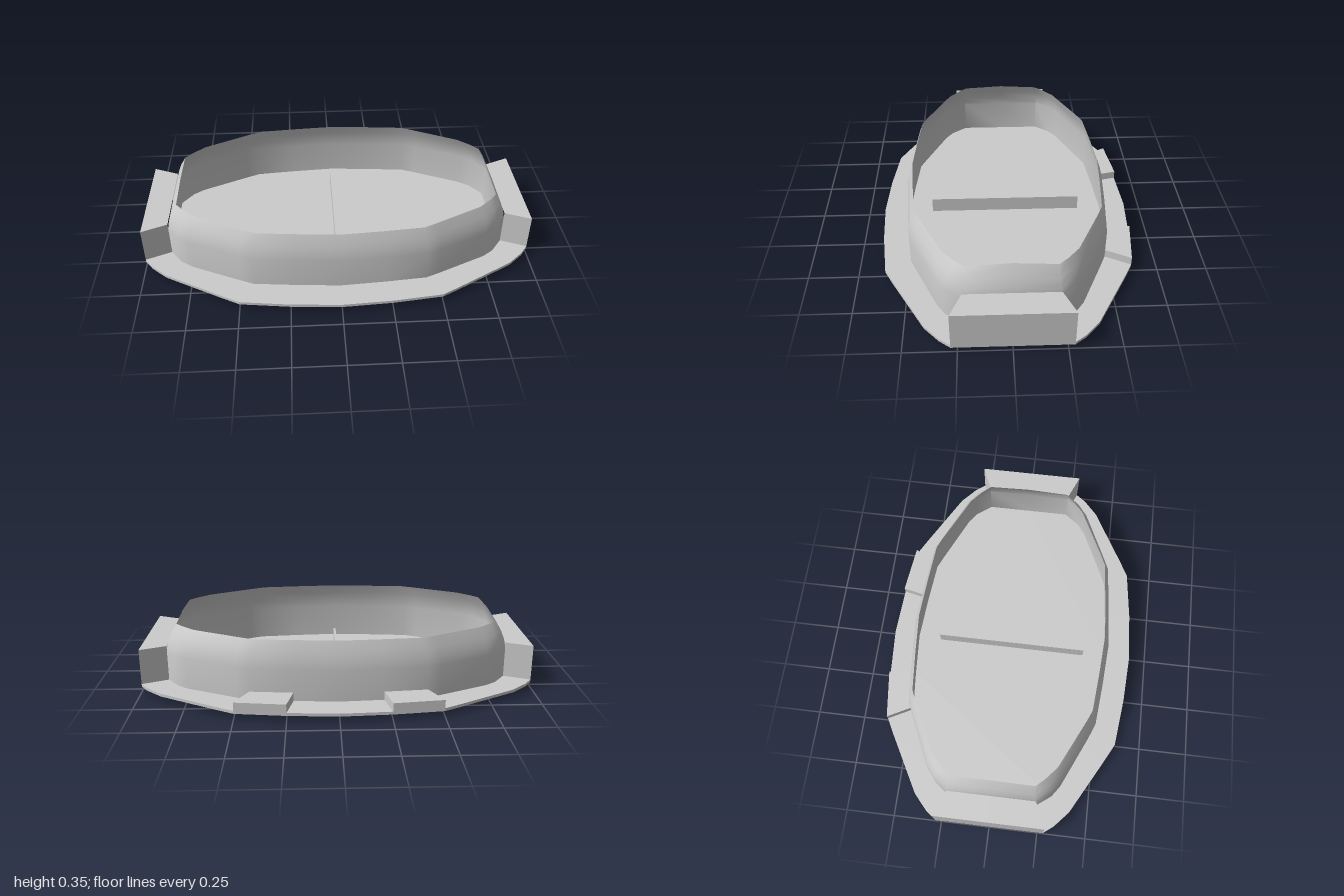
import * as THREE from 'three';
import { toCreasedNormals } from 'three/addons/utils/BufferGeometryUtils.js';

const material = new THREE.MeshStandardMaterial({ color: 0xcccccc, side: THREE.DoubleSide });

// One quarter of each outline as [x, z], from front centre to the end centre
const FLANGE = [[0, 0.66], [0.25, 0.645], [0.5, 0.615], [0.59, 0.567], [0.88, 0.405], [0.96, 0.333], [1, 0.28], [1, 0]];
const BASE = [[0, 0.525], [0.22, 0.51], [0.435, 0.49], [0.5, 0.462], [0.755, 0.345], [0.81, 0.305], [0.87, 0.225], [0.87, 0]];
const RIM = [[0, 0.49], [0.205, 0.476], [0.406, 0.458], [0.465, 0.432], [0.71, 0.312], [0.775, 0.255], [0.813, 0.212], [0.813, 0]];

// Mirror a quarter into a closed ring of 28 points
function ring(q) {
  const right = [...q, ...q.slice(0, -1).reverse().map(([x, z]) => [x, -z])];
  const left = right.slice(1, -1).reverse().map(([x, z]) => [-x, z]);
  return [...right, ...left];
}
const flangeRing = ring(FLANGE), baseRing = ring(BASE), rimRing = ring(RIM);
const N = baseRing.length;

function mesh(name, geometry) {
  const m = new THREE.Mesh(geometry, material);
  m.name = name;
  return m;
}

// Geometry from a list of four-cornered faces
function quads(faces, crease) {
  const pos = [];
  for (const [a, b, c, d] of faces) pos.push(...a, ...b, ...c, ...a, ...c, ...d);
  const g = new THREE.BufferGeometry();
  g.setAttribute('position', new THREE.Float32BufferAttribute(pos, 3));
  g.computeVertexNormals();
  return crease ? toCreasedNormals(g, crease) : g;
}

// Stretch of ledge around the wall between two ring indices
function ledge(from, to, y0, y1, closedBelow) {
  const o = (i, y) => [flangeRing[i % N][0], y, flangeRing[i % N][1]];
  const n = (i, y) => [baseRing[i % N][0], y, baseRing[i % N][1]];
  const faces = [
    [n(from, y0), o(from, y0), o(from, y1), n(from, y1)],
    [o(to, y0), n(to, y0), n(to, y1), o(to, y1)],
  ];
  for (let i = from; i < to; i++) {
    faces.push([o(i, y0), o(i + 1, y0), o(i + 1, y1), o(i, y1)]);
    faces.push([o(i, y1), o(i + 1, y1), n(i + 1, y1), n(i, y1)]);
    if (closedBelow) faces.push([n(i, y0), n(i + 1, y0), o(i + 1, y0), o(i, y0)]);
  }
  return quads(faces);
}

export function createModel() {
  const group = new THREE.Group();

  // Wall: upright, then curving inward to a rim that peaks at both ends
  const levels = [[0.02, 0], [0.2, 0], [0.245, 0.17], [0.29, 0.48], [0.34, 1]];
  const point = (i, [y, t]) => {
    const b = baseRing[i % N], r = rimRing[i % N];
    const peak = i % 14 === 7 ? 0.012 * t : 0;
    return [b[0] + (r[0] - b[0]) * t, y + peak, b[1] + (r[1] - b[1]) * t];
  };
  const wall = [];
  for (let k = 0; k < levels.length - 1; k++) {
    for (let i = 0; i < N; i++) {
      const lo = levels[k], hi = levels[k + 1];
      wall.push([point(i, lo), point(i + 1, lo), point(i + 1, hi), point(i, hi)]);
    }
  }
  group.add(mesh('wall', quads(wall, 0.65)));

  // Floor
  const outline = new THREE.Shape(baseRing.map(([x, z]) => new THREE.Vector2(x, -z)));
  const floor = mesh('floor', new THREE.ShapeGeometry(outline).rotateX(-Math.PI / 2));
  floor.position.y = 0.02;
  group.add(floor);

  // Thin flange, interrupted where the hollow blocks and tabs sit
  const flange = new THREE.Group();
  flange.name = 'flange';
  for (const [a, b] of [[22, 34], [8, 12], [13, 15], [16, 20]]) {
    flange.add(mesh('flangeSection', ledge(a, b, 0.025, 0.04, true)));
  }
  group.add(flange);

  // End blocks and back tabs, open underneath
  group.add(mesh('leftEndBlock', ledge(6, 8, 0.025, 0.225, false)));
  group.add(mesh('rightEndBlock', ledge(20, 22, 0.025, 0.225, false)));
  group.add(mesh('leftBackTab', ledge(12, 13, 0.025, 0.083, false)));
  group.add(mesh('rightBackTab', ledge(15, 16, 0.025, 0.083, false)));

  // Upright divider through the middle of the floor
  const divider = mesh('divider', new THREE.BoxGeometry(0.012, 0.1, 0.8));
  divider.position.set(-0.004, 0.05, 0);
  group.add(divider);

  return group;
}
